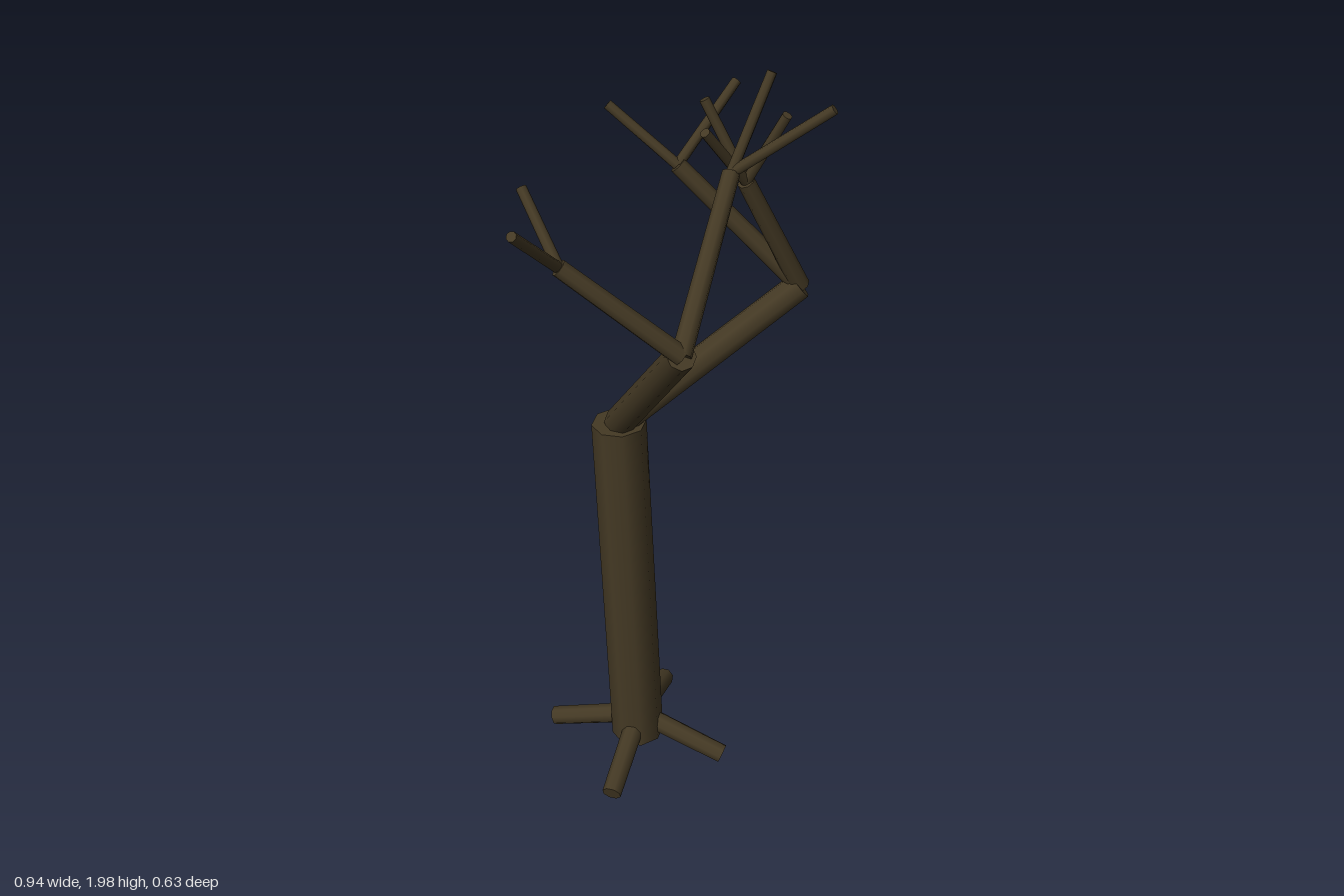
import * as THREE from 'three';

const SIDES = 8;
const UP = new THREE.Vector3(0, 1, 0);

export function createModel() {
  const tree = new THREE.Group();
  tree.name = 'bareTree';
  const bark = new THREE.MeshStandardMaterial({ color: 0x443924 });
  bark.name = 'darkBark';

  // One straight limb between two points, slightly tapered
  function limb(name, from, to, r0, r1) {
    const a = new THREE.Vector3(...from);
    const b = new THREE.Vector3(...to);
    const dir = b.clone().sub(a);
    const mesh = new THREE.Mesh(new THREE.CylinderGeometry(r1, r0, dir.length(), SIDES), bark);
    mesh.position.copy(a).add(b).multiplyScalar(0.5);
    mesh.quaternion.setFromUnitVectors(UP, dir.normalize());
    mesh.name = name;
    tree.add(mesh);
  }

  // Trunk, leaning back a little
  const crown = [0.09, 1.06, -0.135];
  limb('trunk', [0.095, 0.055, -0.08], crown, 0.07, 0.069);

  // Four roots spreading from the trunk base
  const rootTips = [[-0.13, 0.035, 0.005], [0.33, 0.035, -0.165], [0.015, 0.035, -0.31], [0.175, 0.035, 0.15]];
  for (const tip of rootTips) limb('root', [0.1, 0.115, -0.08], tip, 0.028, 0.026);

  // Boughs fork into branches, and branches into twigs
  const boughs = [
    {
      end: [-0.12, 1.49, 0.207],
      branches: [
        { end: [-0.28, 1.71, -0.003], twigs: [[-0.46, 1.873, 0.028], [-0.238, 1.84, -0.137]] },
        { end: [0.19, 1.78, 0.11], twigs: [[0.295, 1.95, 0.305], [0.3, 1.99, 0.135]] },
      ],
    },
    {
      end: [0.412, 1.41, 0.167],
      branches: [
        { end: [0.26, 1.71, -0.09], twigs: [[0.2, 1.84, -0.25], [0.46, 1.855, -0.07]] },
        { end: [0.272, 1.72, 0.095], twigs: [[0.235, 1.91, 0], [0.288, 1.905, 0.188], [0.145, 1.882, 0.068]] },
      ],
    },
  ];
  for (const bough of boughs) {
    limb('bough', crown, bough.end, 0.038, 0.035);
    for (const branch of bough.branches) {
      limb('branch', bough.end, branch.end, 0.024, 0.021);
      for (const tip of branch.twigs) limb('twig', branch.end, tip, 0.013, 0.012);
    }
  }
  return tree;
}
